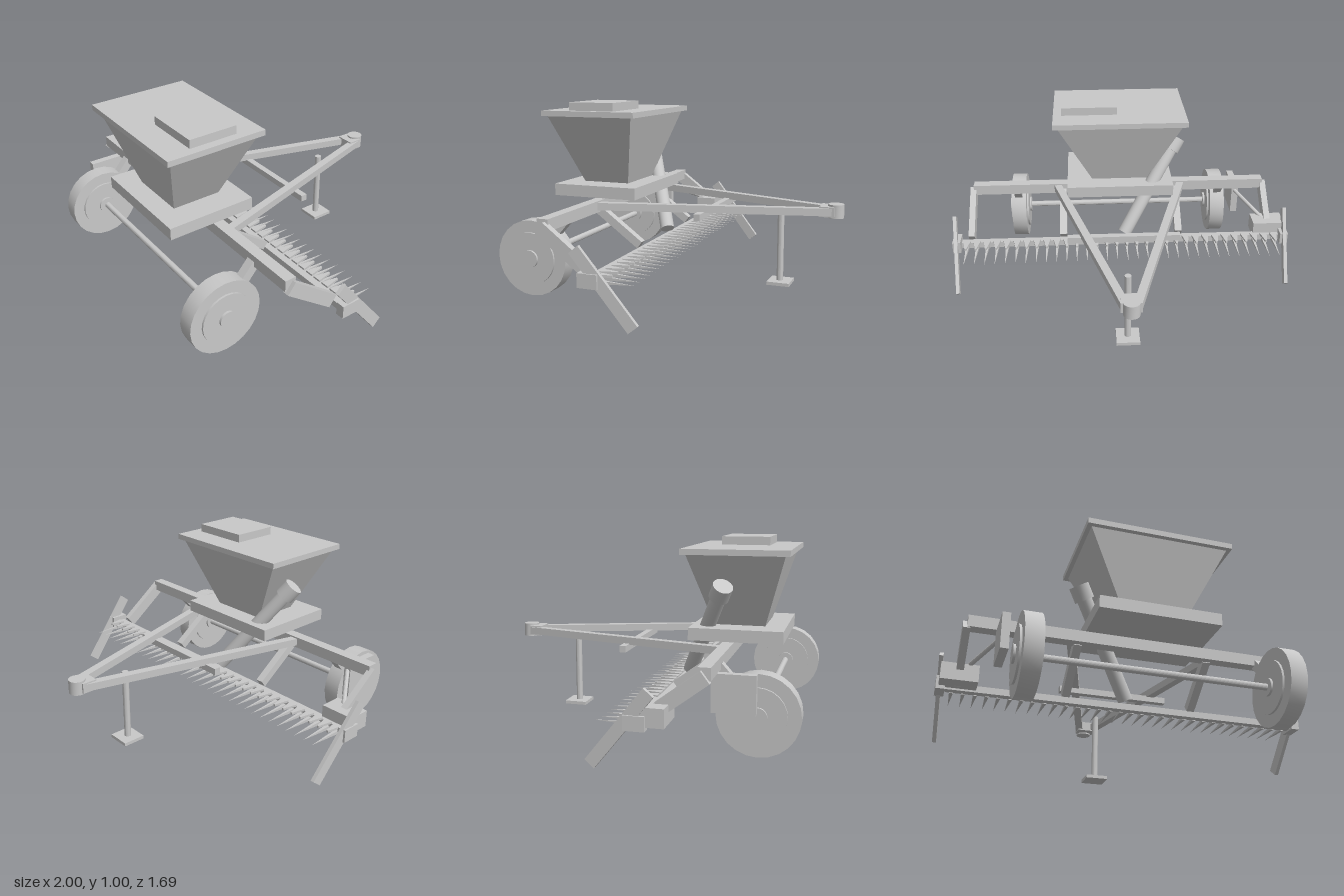
import * as THREE from 'three';
import { toCreasedNormals } from 'three/addons/utils/BufferGeometryUtils.js';

export function createModel() {
  const model = new THREE.Group();
  model.name = 'towedMower';
  const grey = new THREE.MeshStandardMaterial({ color: 0xc8c8c8 });
  grey.name = 'plainGrey';
  const V = (x, y, z) => new THREE.Vector3(x, y, z);

  const add = (name, geometry) => {
    const mesh = new THREE.Mesh(geometry, grey);
    mesh.name = name;
    model.add(mesh);
    return mesh;
  };
  // Box given by its extents on each axis
  const box = (name, x0, x1, y0, y1, z0, z1) => {
    const m = add(name, new THREE.BoxGeometry(x1 - x0, y1 - y0, z1 - z0));
    m.position.set((x0 + x1) / 2, (y0 + y1) / 2, (z0 + z1) / 2);
    return m;
  };
  // Rectangular bar between two points
  const bar = (name, a, b, width, height) => {
    const m = add(name, new THREE.BoxGeometry(width, height, a.distanceTo(b)));
    m.position.lerpVectors(a, b, 0.5);
    m.lookAt(b);
    return m;
  };
  // Round rod between two points
  const rod = (name, a, b, radius, sides = 20) => {
    const g = new THREE.CylinderGeometry(radius, radius, a.distanceTo(b), sides);
    const m = add(name, toCreasedNormals(g, 0.5));
    m.position.lerpVectors(a, b, 0.5);
    m.quaternion.setFromUnitVectors(V(0, 1, 0), b.clone().sub(a).normalize());
    return m;
  };

  // Hopper: tapered body on a tray, with lid and hatch
  const hopper = new THREE.BoxGeometry(0.72, 0.38, 0.5);
  const p = hopper.attributes.position;
  for (let i = 0; i < p.count; i++) {
    if (p.getY(i) < 0) {
      p.setX(i, Math.sign(p.getX(i)) * 0.165);
      p.setZ(i, Math.sign(p.getZ(i)) * 0.135);
    }
  }
  hopper.computeVertexNormals();
  add('hopperBody', hopper).position.set(0, 0.735, 0.47);
  box('hopperTray', -0.313, 0.313, 0.48, 0.545, 0.225, 0.715);
  box('hopperLid', -0.383, 0.383, 0.925, 0.955, 0.195, 0.745);
  box('hopperHatch', 0.015, 0.335, 0.955, 1.0, 0.335, 0.598);

  // Filling tube beside the hopper
  const low = V(-0.02, 0.26, 0.175), high = V(-0.335, 0.755, 0.405);
  rod('fillTube', low, high, 0.04);
  rod('fillTubeCap', low.clone().lerp(high, 0.9), low.clone().lerp(high, 1.03), 0.053);

  // Frame and drawbar
  box('mainBeam', -0.89, 0.89, 0.417, 0.478, 0.405, 0.465);
  box('drawbarCrossMember', -0.313, 0.313, 0.395, 0.43, -0.148, -0.113);
  box('hitchBlock', -0.053, 0.053, 0.41, 0.465, -0.8, -0.72);
  rod('hitchEye', V(0, 0.402, -0.802), V(0, 0.475, -0.802), 0.043);

  // Parking jack
  rod('jackLeg', V(0, 0.03, -0.505), V(0, 0.418, -0.505), 0.018);
  box('jackFoot', -0.063, 0.063, 0.012, 0.03, -0.57, -0.445);

  // Wheels and axle
  rod('axle', V(-0.63, 0.212, 0.643), V(0.63, 0.212, 0.643), 0.017);
  for (const s of [-1, 1]) {
    const side = s > 0 ? 'left' : 'right';
    bar(side + 'DrawbarRail', V(s * 0.03, 0.437, -0.79), V(s * 0.382, 0.45, 0.43), 0.043, 0.04);

    const disc = (name, radius, half) =>
      rod(side + name, V(s * 0.63 - half, 0.212, 0.645), V(s * 0.63 + half, 0.212, 0.645), radius, 24);
    disc('Tyre', 0.2, 0.044);
    disc('Rim', 0.137, 0.055);
    disc('Hub', 0.045, 0.067);
    bar(side + 'WheelStrut', V(s * 0.63, 0.43, 0.45), V(s * 0.63, 0.212, 0.645), 0.046, 0.05);

    // Arms carrying the cutter bar
    bar(side + 'OuterArm', V(s * 0.893, 0.437, 0.443), V(s * 0.893, 0.24, 0.182), 0.036, 0.07);
    bar(side + 'InnerArm', V(s * 0.345, 0.43, 0.42), V(s * 0.345, 0.25, 0.175), 0.042, 0.045);

    // End shoe and crop divider
    box(side + 'Shoe', s * 0.975 - 0.023, s * 0.975 + 0.023, 0.197, 0.267, 0.093, 0.195);
    bar(side + 'Divider', V(s * 0.986, 0.375, 0.212), V(s * 0.965, 0.02, -0.072), 0.02, 0.06);
  }

  // Cutter bar with pointed guards and knife sections
  box('cutterBar', -0.95, 0.95, 0.205, 0.24, 0.135, 0.175);
  const guard = new THREE.ConeGeometry(0.014, 0.2, 4);
  guard.rotateY(Math.PI / 4).rotateX(-Math.PI / 2);
  const flatGuard = guard.toNonIndexed();
  flatGuard.computeVertexNormals();
  const blade = new THREE.Shape([
    new THREE.Vector2(-0.022, 0), new THREE.Vector2(0.022, 0),
    new THREE.Vector2(0.005, 0.085), new THREE.Vector2(-0.005, 0.085),
  ]);
  const knife = new THREE.ExtrudeGeometry(blade, { depth: 0.012, bevelEnabled: false });
  knife.rotateX(-Math.PI / 2);
  const teeth = 32;
  for (let i = 0; i < teeth; i++) {
    const x = -0.918 + (1.836 * i) / (teeth - 1);
    add('guardFinger', flatGuard).position.set(x, 0.211, 0.04);
    add('knifeSection', knife).position.set(x, 0.238, 0.138);
  }

  // Drive case, shaft and gearbox on the right side
  box('driveCase', -0.752, -0.712, 0.235, 0.42, 0.437, 0.645);
  rod('driveShaft', V(-0.73, 0.385, 0.44), V(-0.89, 0.28, 0.21), 0.012, 12);
  box('gearbox', -0.985, -0.8, 0.215, 0.305, 0.157, 0.28);

  return model;
}
